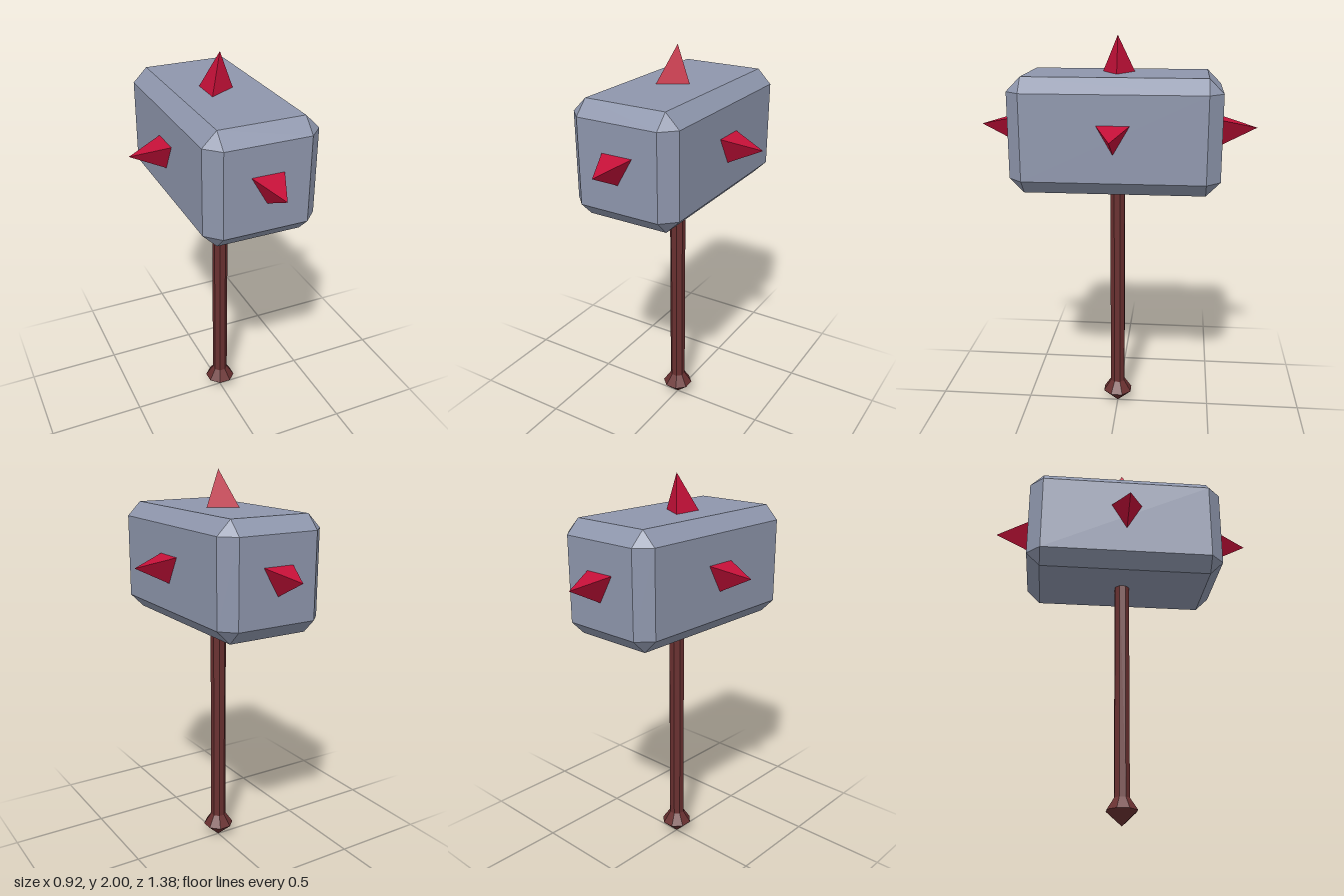
import * as THREE from 'three';
import { ConvexGeometry } from 'three/addons/geometries/ConvexGeometry.js';

const HEAD = { x: 0.28, y: 0.28, z: 0.513, centerY: 1.54, bevel: 0.07 };

function material(name, color) {
  const m = new THREE.MeshStandardMaterial({ color });
  m.name = name;
  return m;
}

function part(name, geometry, mat) {
  const mesh = new THREE.Mesh(geometry, mat);
  mesh.name = name;
  return mesh;
}

// Box with chamfered edges and triangular corner cuts
function chamferedBox({ x, y, z, bevel: b }) {
  const points = [];
  for (const sx of [-1, 1]) for (const sy of [-1, 1]) for (const sz of [-1, 1]) {
    points.push(
      new THREE.Vector3(sx * x, sy * (y - b), sz * (z - b)),
      new THREE.Vector3(sx * (x - b), sy * y, sz * (z - b)),
      new THREE.Vector3(sx * (x - b), sy * (y - b), sz * z)
    );
  }
  return new ConvexGeometry(points);
}

// Three-sided spike with its base at y = 0 and one base corner towards +z
function spikeGeometry(height) {
  return new THREE.ConeGeometry(0.092, height, 3, 1).translate(0, height / 2, 0).toNonIndexed();
}

export function createModel() {
  const group = new THREE.Group();
  group.name = 'spikedHammer';
  const steel = material('steel', 0x8e96ac);
  const wood = material('darkWood', 0x693030);
  const crimson = material('crimson', 0xc41038);

  // Head
  const head = part('head', chamferedBox(HEAD), steel);
  head.position.y = HEAD.centerY;
  group.add(head);

  // Handle with its pointed pommel
  const lathe = (pts) => {
    const g = new THREE.LatheGeometry(pts.map(([r, y]) => new THREE.Vector2(r, y)), 8, Math.PI / 8).toNonIndexed();
    g.computeVertexNormals();
    return g;
  };
  group.add(part('handle', lathe([[0.04, 0.13], [0.04, 1.3]]), wood));
  group.add(part('pommel', lathe([[0, 0], [0.08, 0.073], [0.04, 0.133]]), wood));

  // Horizontal spikes, one on each side face, lower corner pointing down
  const sides = [
    ['frontSpike', 0, HEAD.z, 0.178],
    ['leftSpike', 1, HEAD.x, 0.182],
    ['backSpike', 2, HEAD.z, 0.178],
    ['rightSpike', 3, HEAD.x, 0.182],
  ];
  for (const [name, turns, reach, height] of sides) {
    const g = spikeGeometry(height).rotateX(Math.PI / 2).translate(0, 1.56, reach).rotateY(turns * Math.PI / 2);
    g.computeVertexNormals();
    group.add(part(name, g, crimson));
  }

  // Top spike: base shifted sideways so that the tip stays on the axis
  const top = spikeGeometry(0.18).rotateY(Math.PI / 2);
  const p = top.attributes.position;
  for (let i = 0; i < p.count; i++) {
    if (p.getY(i) < 0.01) p.setX(i, p.getX(i) - 0.026);
  }
  top.computeVertexNormals();
  const topSpike = part('topSpike', top, crimson);
  topSpike.position.y = HEAD.centerY + HEAD.y;
  group.add(topSpike);

  return group;
}
